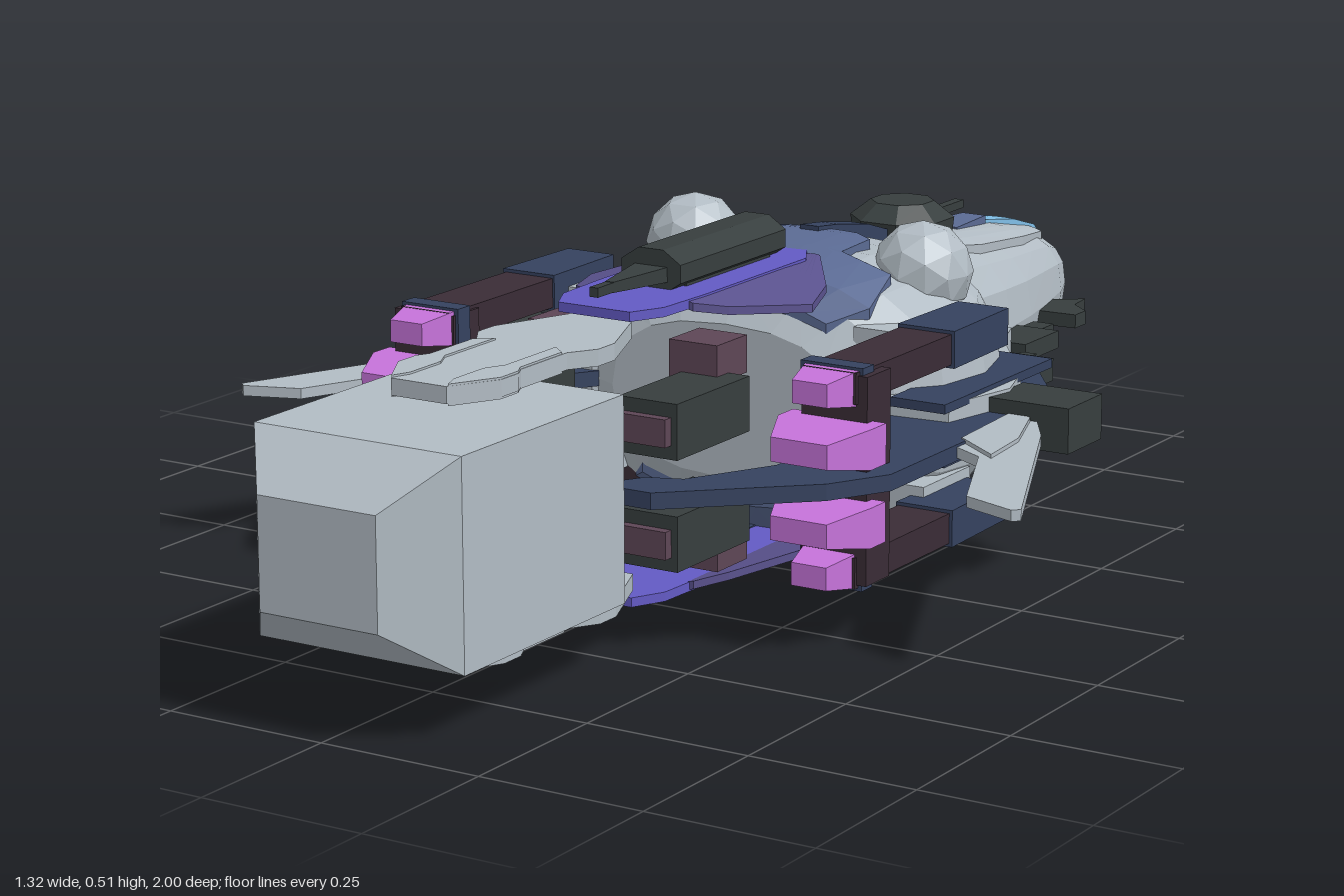
import * as THREE from 'three';

const COLORS = {
  hullGrey: 0xb2bcc4, darkMetal: 0x373e3e, navy: 0x35425f, slateBlue: 0x5b6b94, purple: 0x635ac4,
  duskPurple: 0x5a528e, maroon: 0x3a2c36, mauve: 0x5e4656, magenta: 0xc673da, skyBlue: 0x84c4ee,
};
const CY = 0.24;                       // height of the horizontal symmetry plane
const BOXY = 2.5;                      // exponent of the hull cross-section, 2 is an ellipse

// hull stations: z, half width, top, bottom
const HEAD = [[-1, 0.012, 0.26, 0.23], [-0.975, 0.045, 0.285, 0.205], [-0.93, 0.08, 0.327, 0.18], [-0.87, 0.104, 0.348, 0.16],
  [-0.78, 0.126, 0.362, 0.145], [-0.68, 0.15, 0.374, 0.138], [-0.58, 0.167, 0.387, 0.13], [-0.47, 0.178, 0.4, 0.12], [-0.35, 0.15, 0.4, 0.11]];
const BODY = [[-0.5, 0.1, 0.35, 0.15], [-0.46, 0.18, 0.4, 0.11], [-0.39, 0.25, 0.422, 0.065], [-0.3, 0.305, 0.438, 0.035],
  [-0.2, 0.335, 0.45, 0.022], [-0.1, 0.32, 0.442, 0.028], [-0.04, 0.27, 0.415, 0.065], [0, 0.2, 0.36, 0.125]];

function station(rows, z) {
  let i = 0;
  while (i < rows.length - 2 && z > rows[i + 1][0]) i++;
  const t = THREE.MathUtils.clamp((z - rows[i][0]) / (rows[i + 1][0] - rows[i][0]), 0, 1);
  return rows[i].map((v, k) => THREE.MathUtils.lerp(v, rows[i + 1][k], t));
}

// height of the hull skin, above (dir 1) or below (dir -1)
const skin = (rows, dir, lift) => (x, z) => {
  const [, w, top, bot] = station(rows, z);
  const mid = (top + bot) / 2;
  return mid + dir * ((top - mid) * Math.max(0, 1 - Math.abs(x / w) ** BOXY) ** (1 / BOXY) + lift);
};

function flat(geo) {
  const g = geo.index ? geo.toNonIndexed() : geo;
  g.computeVertexNormals();
  return g;
}

// faceted hull shell from rounded rings
function loft(rows, sides) {
  const pos = [], idx = [];
  const bulge = (v) => Math.sign(v) * Math.abs(v) ** (2 / BOXY);
  rows.forEach(([z, w, top, bot]) => {
    for (let j = 0; j < sides; j++) {
      const a = (j / sides) * Math.PI * 2;
      pos.push(bulge(Math.cos(a)) * w, (top + bot) / 2 + bulge(Math.sin(a)) * (top - bot) / 2, z);
    }
  });
  for (let i = 0; i < rows.length - 1; i++) for (let j = 0; j < sides; j++) {
    const k = (j + 1) % sides, a = i * sides + j, b = i * sides + k;
    idx.push(a, b, a + sides, b, b + sides, a + sides);
  }
  const last = (rows.length - 1) * sides;
  for (let j = 1; j < sides - 1; j++) idx.push(0, j + 1, j, last, last + j, last + j + 1);
  const g = new THREE.BufferGeometry();
  g.setAttribute('position', new THREE.Float32BufferAttribute(pos, 3));
  g.setIndex(idx);
  return flat(g);
}

// thin plate that follows a surface; rows: z, x from, x to
function plate(rows, height, thick = 0.016) {
  const n = rows.length - 1, g = new THREE.BoxGeometry(1, 1, 1, 8, 1, n), p = g.attributes.position;
  for (let i = 0; i < p.count; i++) {
    const [z, x0, x1] = rows[Math.round((p.getZ(i) + 0.5) * n)];
    const x = THREE.MathUtils.lerp(x0, x1, p.getX(i) + 0.5);
    p.setXYZ(i, x, height(x, z) + p.getY(i) * thick, z);
  }
  return flat(g);
}

// level slab from an (x, z) outline
function slab(points, s, y0, y1) {
  const shape = new THREE.Shape(points.map(([x, z]) => new THREE.Vector2(x * s, -z)));
  return new THREE.ExtrudeGeometry(shape, { depth: y1 - y0, bevelEnabled: false }).rotateX(-Math.PI / 2).translate(0, y0, 0);
}

// box given by its limits, its +z (end 1) or -z (end -1) face scaled
function block(x0, x1, y0, y1, z0, z1, tx = 1, ty = 1, end = 1) {
  const g = new THREE.BoxGeometry(Math.abs(x1 - x0), y1 - y0, z1 - z0), p = g.attributes.position;
  for (let i = 0; i < p.count; i++) if (p.getZ(i) * end > 0) { p.setX(i, p.getX(i) * tx); p.setY(i, p.getY(i) * ty); }
  return flat(g.translate((x0 + x1) / 2, (y0 + y1) / 2, (z0 + z1) / 2));
}

export function createModel() {
  const model = new THREE.Group();
  model.name = 'spaceship';
  const mats = {};
  for (const [name, color] of Object.entries(COLORS)) {
    mats[name] = new THREE.MeshStandardMaterial({ color });
    mats[name].name = name;
  }
  const add = (name, mat, geo) => {
    const m = new THREE.Mesh(geo, mats[mat]);
    m.name = name;
    model.add(m);
  };

  // hull
  add('head', 'hullGrey', loft(HEAD, 16));
  add('body', 'hullGrey', loft(BODY, 20));
  add('headArmour', 'hullGrey', plate([[-0.9, -0.05, 0.05], [-0.78, -0.08, 0.08], [-0.6, -0.1, 0.1], [-0.45, -0.08, 0.08]], skin(HEAD, 1, 0.004)));
  add('noseStripe', 'skyBlue', plate([[-0.998, -0.008, 0.008], [-0.965, -0.018, 0.018], [-0.92, -0.026, 0.026], [-0.85, -0.025, 0.025], [-0.76, -0.016, 0.016]], skin(HEAD, 1, 0.01)));
  add('noseBlock', 'slateBlue', block(-0.035, 0.035, 0.36, 0.393, -0.76, -0.64, 0.6, 0.8, -1));

  // head turret
  const octagon = (r0, r1, h, y, z) => flat(new THREE.CylinderGeometry(r0, r1, h, 8).rotateY(Math.PI / 8).translate(0, y, z));
  add('turretBase', 'darkMetal', octagon(0.082, 0.076, 0.05, 0.405, -0.525));
  add('turretDome', 'darkMetal', octagon(0.05, 0.082, 0.025, 0.4425, -0.525));
  add('turretBarrel', 'darkMetal', block(-0.008, 0.008, 0.41, 0.423, -0.71, -0.58));

  // spines, mantle and bay plates, above and below
  for (const d of [1, -1]) {
    const side = d > 0 ? 'upper' : 'lower';
    add(side + 'Spine', 'navy', plate([[-0.46, -0.016, 0.016], [-0.39, -0.016, 0.016], [-0.3, -0.016, 0.016], [-0.24, -0.016, 0.016]], skin(BODY, d, 0.008), 0.024));
    add(side + 'Mantle', 'slateBlue', plate([[-0.28, -0.06, 0.06], [-0.25, -0.1, 0.1], [-0.15, -0.11, 0.11], [-0.14, -0.2, 0.2], [-0.06, -0.21, 0.21], [-0.02, -0.16, 0.16]], skin(BODY, d, 0.006)));
    add(side + 'BayPlate', 'purple', plate([[-0.15, -0.05, 0.05], [-0.08, -0.09, 0.09], [0.2, -0.09, 0.09], [0.3, -0.085, 0.085], [0.35, -0.06, 0.06]], () => CY + d * 0.208, 0.014));
    const yc = CY + d * 0.184;
    add(side + 'CargoRail', 'hullGrey', slab([[0.05, 0.33], [0.1, 0.45], [0.1, 0.49], [0.075, 0.53], [0.075, 0.64], [0.085, 0.66], [0.085, 0.7], [0.045, 0.77],
      [-0.045, 0.77], [-0.085, 0.7], [-0.085, 0.66], [-0.075, 0.64], [-0.075, 0.53], [-0.1, 0.49], [-0.1, 0.45], [-0.05, 0.33]], 1, yc - 0.012, yc + 0.012));
    for (const s of [1, -1]) {
      add(side + 'RailPad', 'hullGrey', slab([[0.05, 0.52], [0.074, 0.54], [0.074, 0.64], [0.084, 0.66], [0.084, 0.7], [0.046, 0.768], [0.035, 0.74], [0.035, 0.67], [0.05, 0.64]], s, yc - 0.015, yc + 0.015));
      add(side + 'BayFlank', 'duskPurple', plate([[-0.12, 0.07, 0.09], [-0.02, 0.085, 0.16], [0.07, 0.085, 0.19], [0.2, 0.085, 0.13], [0.24, 0.085, 0.095]].map(([z, a, b]) => s > 0 ? [z, a, b] : [z, -b, -a]),
        (x) => CY + d * (0.207 - Math.max(0, Math.abs(x) - 0.085) * 0.25), 0.012));
    }
  }
  add('keelPod', 'navy', block(-0.025, 0.025, 0.0, 0.05, -0.25, -0.03, 0.6, 0.6));

  // long gun on the back
  const gunBody = flat(new THREE.CylinderGeometry(0.054, 0.054, 0.29, 8).rotateX(Math.PI / 2).rotateZ(Math.PI / 8).scale(1, 0.65, 1).translate(0, 0.479, 0.057));
  add('gunBody', 'darkMetal', gunBody);
  add('gunMuzzle', 'darkMetal', block(-0.028, 0.028, 0.465, 0.487, 0.2, 0.31, 0.25, 0.7));
  add('gunBarrel', 'darkMetal', block(-0.007, 0.007, 0.469, 0.483, 0.3, 0.35));
  add('gunMount', 'darkMetal', block(-0.04, 0.04, 0.44, 0.46, -0.06, 0.17));

  // cargo container
  add('container', 'hullGrey', block(-0.167, 0.167, 0.095, 0.39, 0.53, 0.91));
  add('containerFront', 'hullGrey', block(-0.167, 0.167, 0.095, 0.39, 0.91, 1, 0.57, 0.54));
  add('containerBack', 'hullGrey', block(-0.167, 0.167, 0.095, 0.39, 0.455, 0.53, 0.57, 0.54, -1));

  // bottom sensor
  const ball = (r, x, y, z) => flat(new THREE.IcosahedronGeometry(r, 1).translate(x, y, z));
  add('chinSensor', 'hullGrey', ball(0.07, 0, 0.122, -0.54));

  for (const s of [1, -1]) {
    const box = (x0, x1, ...rest) => block(x0 * s, x1 * s, ...rest);

    // shoulder domes and belly turrets
    add('shoulderDome', 'hullGrey', ball(0.076, 0.2 * s, 0.42, -0.235));
    add('bellyTurret', 'maroon', ball(0.065, 0.19 * s, 0.09, -0.23));
    add('bellyTurretFoot', 'maroon', flat(new THREE.CylinderGeometry(0.018, 0.046, 0.035, 8).translate(0.19 * s, 0.027, -0.23)));
    add('bellyMount', 'maroon', box(0.17, 0.25, 0.08, 0.16, -0.2, -0.04));

    // shoulders and wing frame
    add('shoulder', 'hullGrey', slab([[0.15, -0.48], [0.21, -0.5], [0.24, -0.42], [0.36, -0.25], [0.39, -0.16], [0.36, -0.03], [0.25, -0.02], [0.15, -0.1]], s, 0.2, 0.28));
    add('wingFrame', 'navy', slab([[0.24, -0.4], [0.32, -0.38], [0.4, -0.27], [0.43, -0.18], [0.43, 0.26], [0.38, 0.35], [0.2, 0.515], [0.11, 0.515], [0.15, 0.45], [0.2, 0.43], [0.27, 0.3], [0.27, 0.02], [0.2, -0.08]], s, 0.229, 0.253));
    add('wingFin', 'hullGrey', slab([[0.4, -0.16], [0.45, -0.13], [0.5, -0.05], [0.66, 0.31], [0.65, 0.32], [0.565, 0.29], [0.48, 0.1], [0.41, 0.06]], s, 0.233, 0.249));
    add('finRoot', 'hullGrey', slab([[0.41, -0.14], [0.45, -0.11], [0.49, 0], [0.5, 0.1], [0.42, 0.04]], s, 0.227, 0.255));
    add('wingPod', 'darkMetal', box(0.38, 0.51, 0.207, 0.275, -0.22, -0.115));
    add('wingPodTip', 'darkMetal', box(0.4, 0.48, 0.22, 0.262, -0.25, -0.22, 0.8, 0.8, -1));

    // dark guns along the sides
    add('noseGun', 'darkMetal', slab([[0.09, -0.8], [0.16, -0.845], [0.165, -0.8], [0.2, -0.77], [0.2, -0.735], [0.1, -0.73]], s, 0.23, 0.252));
    add('neckGun', 'darkMetal', box(0.15, 0.235, 0.228, 0.256, -0.61, -0.5));
    add('neckGunBarrel', 'darkMetal', box(0.17, 0.205, 0.23, 0.255, -0.65, -0.34));
    add('shoulderGun', 'darkMetal', box(0.24, 0.32, 0.225, 0.26, -0.43, -0.34));
    add('shoulderGunBarrel', 'darkMetal', box(0.25, 0.275, 0.23, 0.255, -0.46, -0.4));

    for (const d of [1, -1]) {
      // y band mirrored about the symmetry plane
      const band = (x0, x1, lo, hi, ...rest) => box(x0, x1, CY + (d > 0 ? lo : -hi), CY + (d > 0 ? hi : -lo), ...rest);
      add('enginePodHousing', 'navy', band(0.297, 0.39, 0.105, 0.16, -0.16, 0.01, 0.9, 1, -1));
      add('enginePylon', 'hullGrey', band(0.2, 0.32, 0.09, 0.135, -0.17, -0.03));
      add('wingSpar', 'navy', band(0.28, 0.37, 0.033, 0.047, -0.33, 0));
      add('enginePod', 'maroon', band(0.3, 0.385, 0.11, 0.155, -0.04, 0.28));
      add('enginePodCollar', 'maroon', band(0.295, 0.4, 0.015, 0.15, 0.21, 0.275));
      add('nozzleCollar', 'navy', band(0.29, 0.39, 0.1, 0.16, 0.24, 0.27));
      add('outerNozzle', 'magenta', band(0.297, 0.383, 0.105, 0.156, 0.27, 0.33, 0.65, 0.65));
      add('innerNozzle', 'magenta', band(0.272, 0.422, 0.027, 0.085, 0.26, 0.3));
      add('innerNozzleTip', 'magenta', band(0.272, 0.422, 0.027, 0.085, 0.3, 0.37, 0.6, 0.6));
      // clamps holding the container
      add('clampBlock', 'darkMetal', band(0.1, 0.195, 0.04, 0.12, 0.25, 0.44));
      add('clampBracket', 'mauve', band(0.08, 0.16, 0.11, 0.165, 0.2, 0.28));
      add('clampPad', 'mauve', band(0.11, 0.185, 0.06, 0.1, 0.44, 0.455));
    }
  }
  return model;
}
